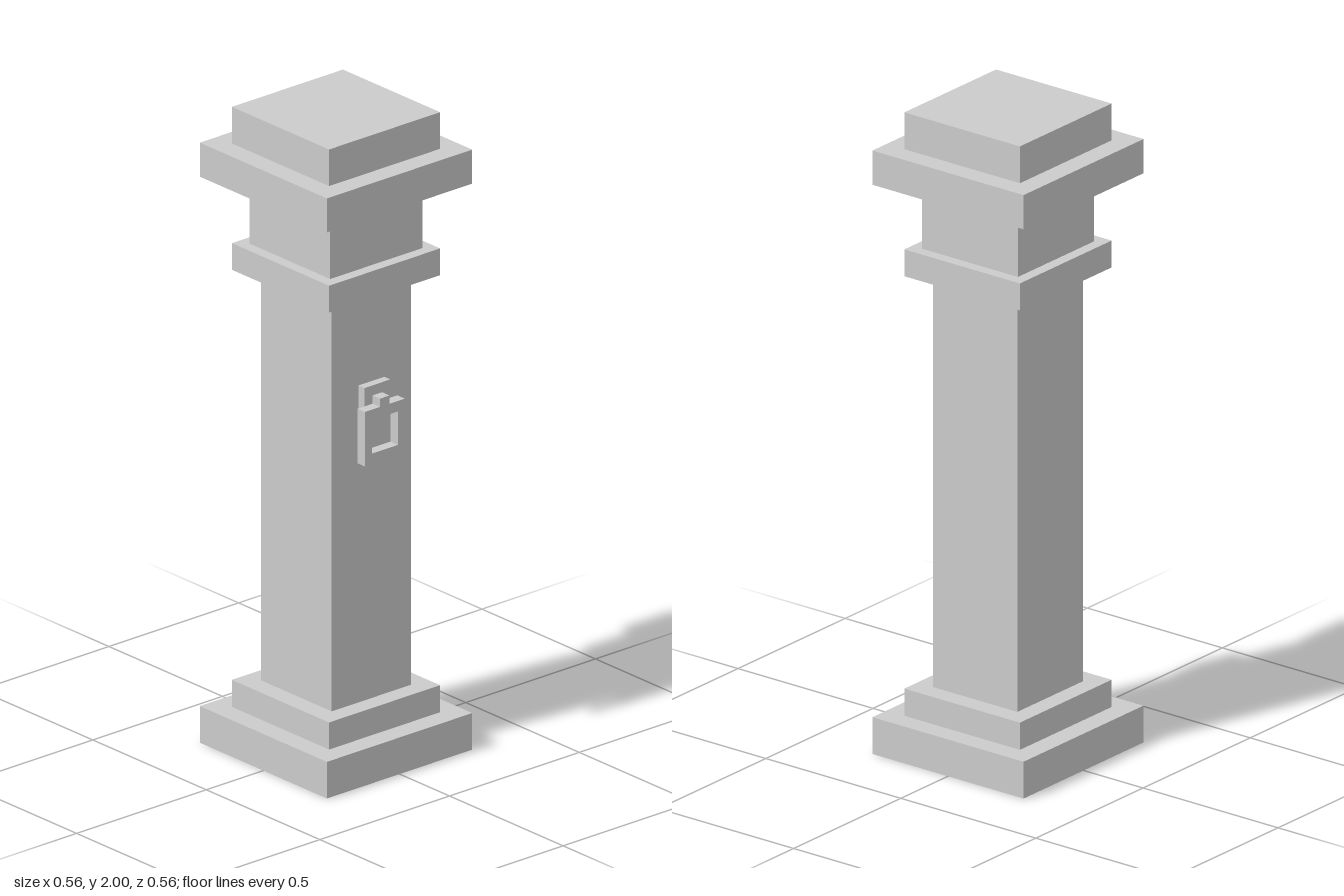
import * as THREE from 'three';

const material = new THREE.MeshStandardMaterial({ color: 0xcccccc, flatShading: true });

export function createModel() {
  const group = new THREE.Group();
  const add = (name, geometry) => {
    const mesh = new THREE.Mesh(geometry, material);
    mesh.name = name;
    group.add(mesh);
    return mesh;
  };

  // Stacked square courses: name, half width, half depth, bottom, top
  const courses = [
    ['plinth', 0.28, 0.28, 0, 0.115],
    ['baseStep', 0.214, 0.214, 0.115, 0.2],
    ['shaft', 0.153, 0.156, 0.2, 1.488],
    ['collar', 0.214, 0.214, 1.488, 1.572],
    ['neck', 0.178, 0.178, 1.572, 1.778],
    ['capSlab', 0.28, 0.28, 1.778, 1.885],
    ['capTop', 0.214, 0.214, 1.885, 2],
  ];
  for (const [name, hx, hz, y0, y1] of courses) {
    add(name, new THREE.BoxGeometry(2 * hx, y1 - y0, 2 * hz)).position.y = (y0 + y1) / 2;
  }

  // Backplate fixed to the front of the shaft
  add('ringBackplate', new THREE.BoxGeometry(0.1, 0.117, 0.03)).position.set(0, 1.137, 0.167);

  // Square hanging ring with a small tab on top
  const outline = [
    [-0.077, 0.967], [0.077, 0.967], [0.077, 1.138], [0.018, 1.138],
    [0.018, 1.164], [-0.018, 1.164], [-0.018, 1.138], [-0.077, 1.138],
  ];
  const opening = [[-0.05, 1.0], [-0.05, 1.105], [0.05, 1.105], [0.05, 1.0]];
  const points = (list) => list.map(([x, y]) => new THREE.Vector2(x, y));
  const shape = new THREE.Shape(points(outline));
  shape.holes.push(new THREE.Path(points(opening)));
  add('squareRing', new THREE.ExtrudeGeometry(shape, { depth: 0.033, bevelEnabled: false }))
    .position.z = 0.182;

  return group;
}
